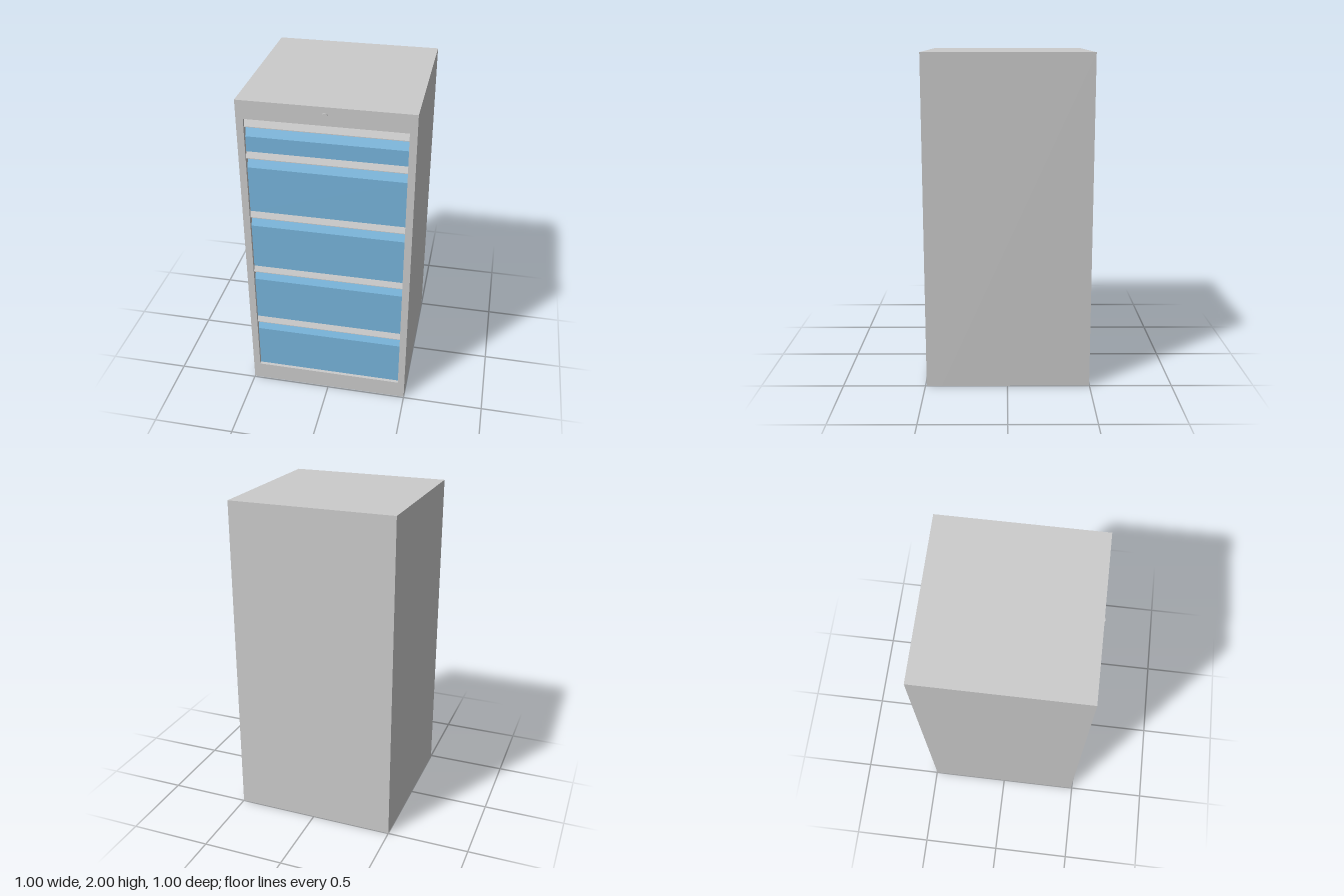
import * as THREE from 'three';

const FRONT = 0.492, BACK = -0.498, RECESS = 0.09;
const OPEN_X = 0.458, OPEN_BOTTOM = 0.115, OPEN_TOP = 1.89;

const grey = new THREE.MeshStandardMaterial({ color: 0xcccccc });
const blue = new THREE.MeshStandardMaterial({ color: 0x77b5dc });

function addMesh(parent, name, geometry, material) {
  const mesh = new THREE.Mesh(geometry, material);
  mesh.name = name;
  parent.add(mesh);
  return mesh;
}

// Extrude a side profile of [depth behind the front, height] points across the opening
function acrossOpening(points) {
  const shape = new THREE.Shape(points.map(([d, y]) => new THREE.Vector2(d, y)));
  const geometry = new THREE.ExtrudeGeometry(shape, { depth: 2 * OPEN_X, bevelEnabled: false });
  geometry.translate(0, 0, -OPEN_X);
  geometry.rotateY(Math.PI / 2);
  return geometry.translate(0, 0, FRONT);
}

function rectangle(path, x, y0, y1) {
  path.moveTo(-x, y0);
  path.lineTo(x, y0);
  path.lineTo(x, y1);
  path.lineTo(-x, y1);
  path.closePath();
  return path;
}

function createDrawer(bottom, top) {
  const drawer = new THREE.Group();
  drawer.name = 'drawer';
  // Flat front with a finger slope running back under the grip
  addMesh(drawer, 'drawerFront', acrossOpening([
    [0.02, bottom], [RECESS, bottom], [RECESS, top + 0.03],
    [0.06, top + 0.025], [0.048, top], [0.02, top - 0.063],
  ]), blue);
  // Overhanging grip strip above the slope
  addMesh(drawer, 'gripStrip', acrossOpening([
    [0.022, top + 0.039], [0.008, top + 0.004], [0.008, top],
    [0.013, top], [0.026, top + 0.031], [RECESS, top + 0.031], [RECESS, top + 0.039],
  ]), grey);
  return drawer;
}

export function createModel() {
  const cabinet = new THREE.Group();
  cabinet.name = 'drawerCabinet';

  // Cabinet body and the front frame around the drawers
  const bodyDepth = FRONT - RECESS - BACK;
  addMesh(cabinet, 'body', new THREE.BoxGeometry(1, 2, bodyDepth), grey)
    .position.set(0, 1, BACK + bodyDepth / 2);
  const outline = rectangle(new THREE.Shape(), 0.5, 0, 2);
  outline.holes.push(rectangle(new THREE.Path(), OPEN_X, OPEN_BOTTOM, OPEN_TOP));
  addMesh(cabinet, 'frontFrame',
    new THREE.ExtrudeGeometry(outline, { depth: RECESS, bevelEnabled: false }), grey)
    .position.z = FRONT - RECESS;

  // One shallow drawer over four deep ones
  const drawers = [[0.115, 0.465], [0.505, 0.858], [0.897, 1.25], [1.29, 1.642], [1.682, 1.838]];
  for (const [bottom, top] of drawers) cabinet.add(createDrawer(bottom, top));

  // Small round lock in the top rail
  const lock = addMesh(cabinet, 'lock', new THREE.CylinderGeometry(0.016, 0.016, 0.012, 24), grey);
  lock.rotation.x = Math.PI / 2;
  lock.position.set(0, 1.95, FRONT);

  return cabinet;
}
